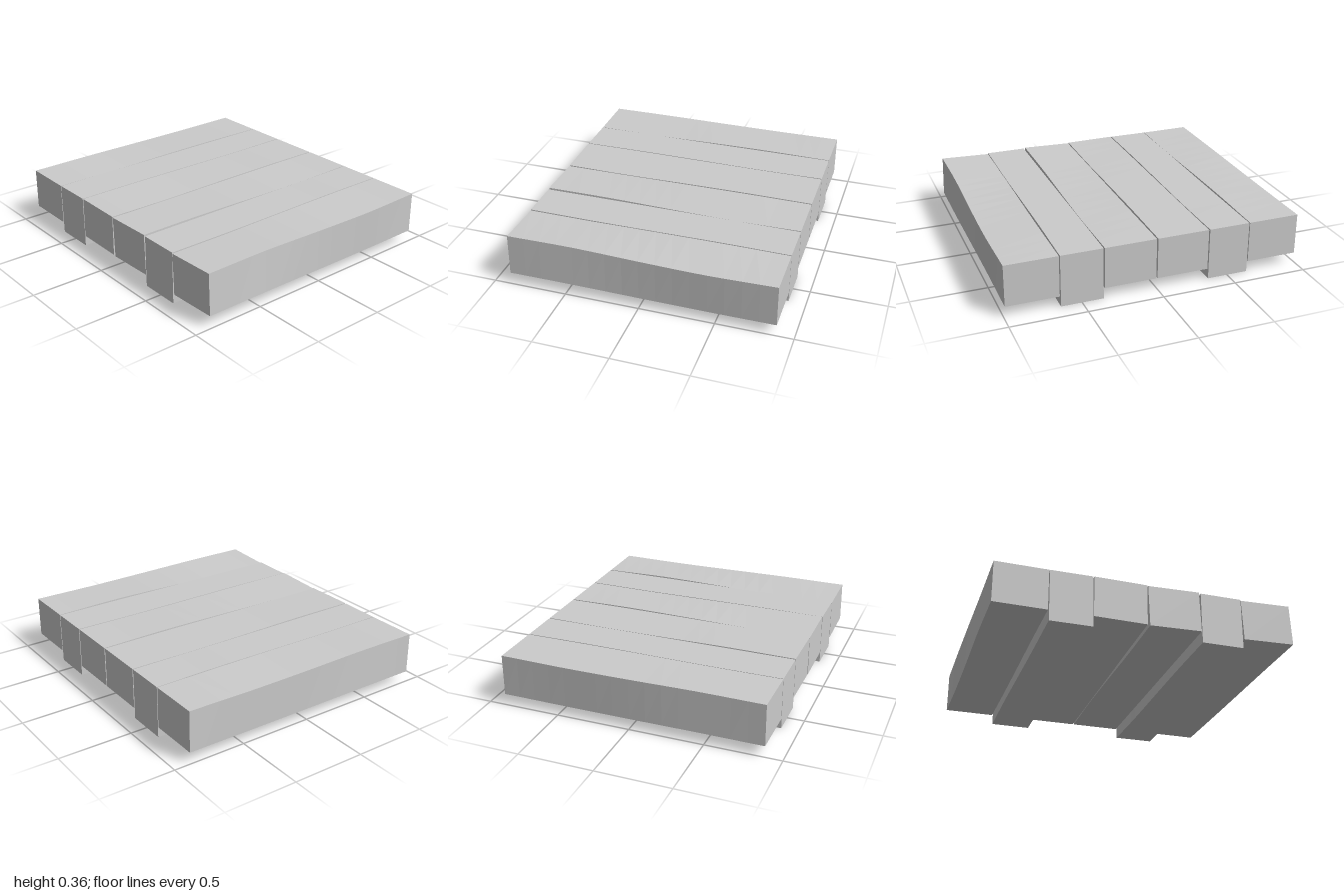
import * as THREE from 'three';

const HEIGHT_TOP = 0.355;
const LENGTH = 1.774;

// A timber whose cross-section rolls and drifts slightly along its length
function timber(name, x0, x1, y0, rolls, drift) {
  const w = x1 - x0, h = HEIGHT_TOP - y0;
  const geo = new THREE.BoxGeometry(w, h, LENGTH, 1, 1, 16).toNonIndexed();
  const rollCurve = new THREE.SplineCurve(rolls.map((r, i) => new THREE.Vector2(i, r)));
  const pos = geo.attributes.position;
  for (let i = 0; i < pos.count; i++) {
    const x = pos.getX(i), y = pos.getY(i), z = pos.getZ(i);
    const t = THREE.MathUtils.clamp(z / LENGTH + 0.5, 0, 1); // 0 back, 1 front
    const a = rollCurve.getPoint(t).y;
    const shift = drift * Math.sin((t - 0.5) * Math.PI);
    pos.setXY(i, x * Math.cos(a) - y * Math.sin(a) + shift, x * Math.sin(a) + y * Math.cos(a));
  }
  geo.computeVertexNormals();
  const mesh = new THREE.Mesh(geo, new THREE.MeshStandardMaterial({ color: 0xcccccc, flatShading: true }));
  mesh.name = name;
  mesh.position.set((x0 + x1) / 2, y0 + h / 2, 0);
  return mesh;
}

export function createModel() {
  const group = new THREE.Group();
  group.name = 'timberPlatform';

  // name, left edge, right edge, underside, roll from back to front, sideways drift
  const timbers = [
    ['outerPlankRight', -0.994, -0.647, 0.076, [0, 0.02, 0.01, -0.015, -0.005], -0.002],
    ['deepBeamRight', -0.641, -0.363, 0.004, [0, -0.012, 0, 0.01, 0.004], -0.002],
    ['innerPlankRight', -0.356, -0.007, 0.076, [0, 0.012, 0, -0.02, -0.01], -0.003],
    ['innerPlankLeft', 0.003, 0.349, 0.076, [0, -0.02, 0, 0.03, 0.03], -0.002],
    ['deepBeamLeft', 0.357, 0.636, 0.004, [0, 0.012, 0, -0.01, 0], -0.002],
    ['outerPlankLeft', 0.643, 0.989, 0.076, [0, -0.03, 0, 0.045, 0.035], -0.002],
  ];
  for (const t of timbers) group.add(timber(...t));
  return group;
}
